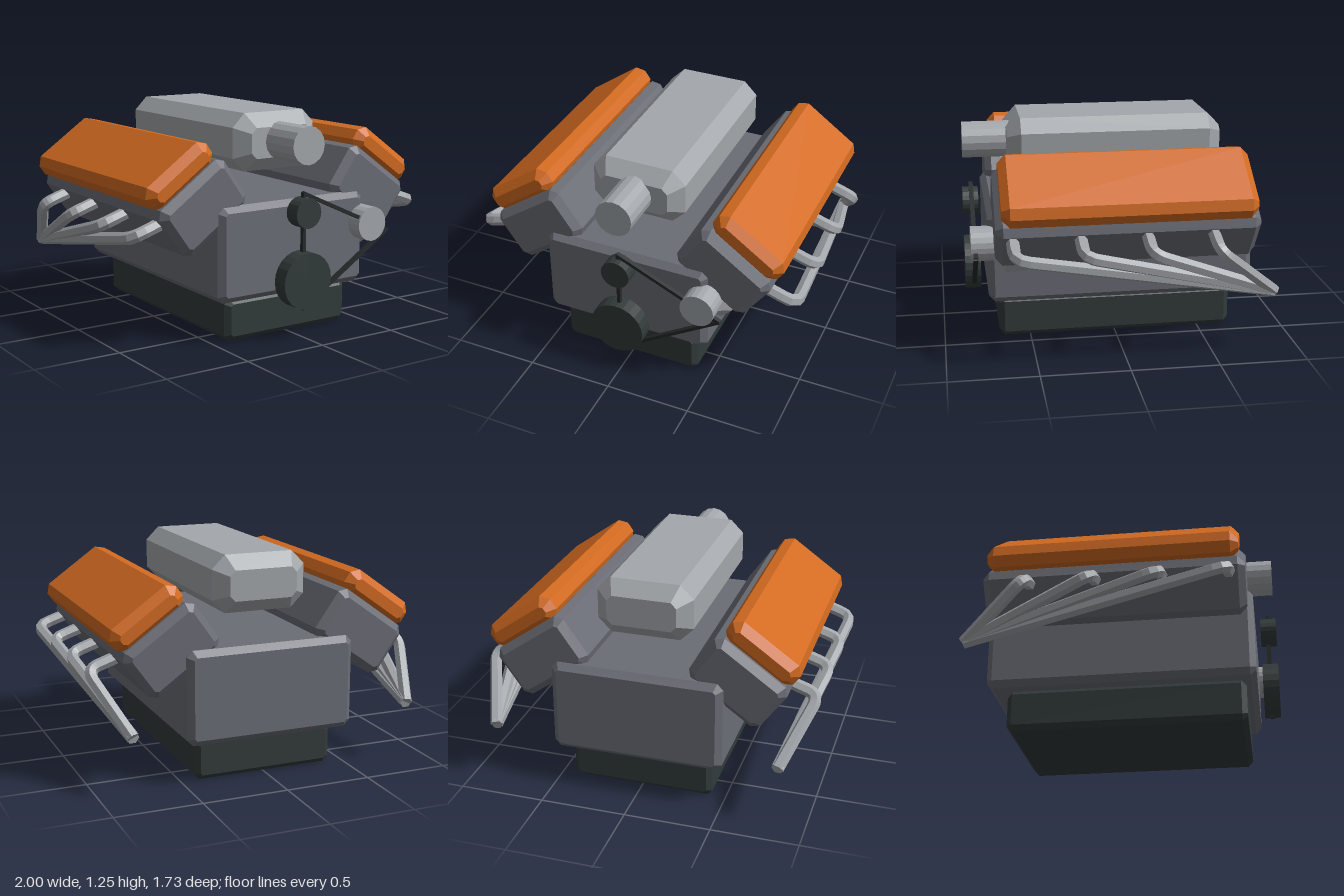
import * as THREE from 'three';
import { ConvexGeometry } from 'three/addons/geometries/ConvexGeometry.js';

const paint = (name, color) => {
  const m = new THREE.MeshStandardMaterial({ color });
  m.name = name;
  return m;
};

// Give every face its own normal for a faceted look
function facet(geometry) {
  const g = geometry.index ? geometry.toNonIndexed() : geometry;
  g.computeVertexNormals();
  return g;
}

// Box with cut corners and bevelled ends along z
function bevelBox(w, h, d, c) {
  const points = [];
  const ring = (a, b, k, z) => {
    for (const sx of [-1, 1]) for (const sy of [-1, 1]) {
      points.push(new THREE.Vector3(sx * a, sy * (b - k), z), new THREE.Vector3(sx * (a - k), sy * b, z));
    }
  };
  for (const s of [-1, 1]) {
    ring(w / 2, h / 2, c, s * (d / 2 - c));
    ring(w / 2 - c, h / 2 - c, c * 0.41, s * d / 2);
  }
  return facet(new ConvexGeometry(points));
}

// Cylinder lying along z between two depths
function drum(r, z0, z1, sides) {
  const g = new THREE.CylinderGeometry(r, r, z1 - z0, sides);
  g.rotateX(Math.PI / 2);
  g.translate(0, 0, (z0 + z1) / 2);
  return facet(g);
}

export function createModel() {
  const iron = paint('cast iron', 0x6b6d76);
  const silver = paint('aluminium', 0xa3a7ab);
  const orange = paint('orange paint', 0xd26a20);
  const dark = paint('dark steel', 0x323b3a);
  const rubber = paint('rubber', 0x262b2b);

  const model = new THREE.Group();
  model.name = 'engine';
  const add = (name, geometry, material, x = 0, y = 0, z = 0, parent = model) => {
    const mesh = new THREE.Mesh(geometry, material);
    mesh.name = name;
    mesh.position.set(x, y, z);
    parent.add(mesh);
    return mesh;
  };

  // Block and sump
  add('engineBlock', bevelBox(1, 0.54, 1.54, 0.035), iron, 0, 0.51, -0.03);
  add('oilPan', bevelBox(0.84, 0.245, 1.37, 0.03), dark, 0, 0.1225, -0.005);

  // Intake plenum and throttle body
  add('intakePlenum', bevelBox(0.56, 0.33, 1.26, 0.078), silver, 0, 1.09, -0.03);
  add('throttleBody', drum(0.108, 0.55, 0.855, 16), silver, 0, 1.095, 0);

  // Banks of cylinders, mirrored
  for (const side of [1, -1]) {
    const bank = new THREE.Group();
    bank.name = side > 0 ? 'leftBank' : 'rightBank';
    model.add(bank);

    const head = add('cylinderHead', bevelBox(0.5, 0.325, 1.47, 0.04), iron, side * 0.568, 0.782, -0.025, bank);
    const cover = add('valveCover', bevelBox(0.465, 0.155, 1.41, 0.045), orange, side * 0.696, 0.962, -0.025, bank);
    head.rotation.z = cover.rotation.z = -side * 0.617;

    // Exhaust pipes bend out of the head and sweep back to one outlet
    for (const z of [0.62, 0.25, -0.12, -0.49]) {
      const port = new THREE.Vector3(side * 0.74, 0.735, z);
      const bend = new THREE.Vector3(side * 0.978, 0.655, z);
      const outlet = new THREE.Vector3(side * 0.832, 0.36, -0.84);
      const sweep = outlet.clone().sub(bend).normalize();
      const a = bend.clone().lerp(port, 0.28);
      const b = bend.clone().addScaledVector(sweep, 0.08);
      const path = new THREE.CurvePath();
      path.add(new THREE.LineCurve3(port, a));
      path.add(new THREE.QuadraticBezierCurve3(a, bend, b));
      path.add(new THREE.LineCurve3(b, outlet));
      add('exhaustPipe', facet(new THREE.TubeGeometry(path, 40, 0.036, 6)), silver, 0, 0, 0, bank);
      const cap = add('exhaustPipeEnd', new THREE.CircleGeometry(0.036, 6), silver, outlet.x, outlet.y, outlet.z, bank);
      cap.lookAt(outlet.clone().add(sweep));
    }
  }

  // Front accessories
  add('crankPulley', drum(0.162, 0.77, 0.863, 24), dark, 0, 0.333, 0);
  add('pumpPulley', drum(0.085, 0.77, 0.863, 20), dark, 0, 0.718, 0);
  add('alternatorBody', bevelBox(0.26, 0.26, 0.25, 0.06), silver, 0.49, 0.58, 0.585);
  add('alternatorNose', drum(0.1, 0.69, 0.837, 20), silver, 0.48, 0.6, 0);

  // Drive belt in three straight runs
  const corners = [[0, 0.825], [0.605, 0.55], [0, 0.165]];
  corners.forEach(([x0, y0], i) => {
    const [x1, y1] = corners[(i + 1) % 3];
    const length = Math.hypot(x1 - x0, y1 - y0);
    const run = add('driveBelt', new THREE.BoxGeometry(length + 0.01, 0.02, 0.026), rubber,
      (x0 + x1) / 2, (y0 + y1) / 2, 0.812);
    run.rotation.z = Math.atan2(y1 - y0, x1 - x0);
  });

  return model;
}
